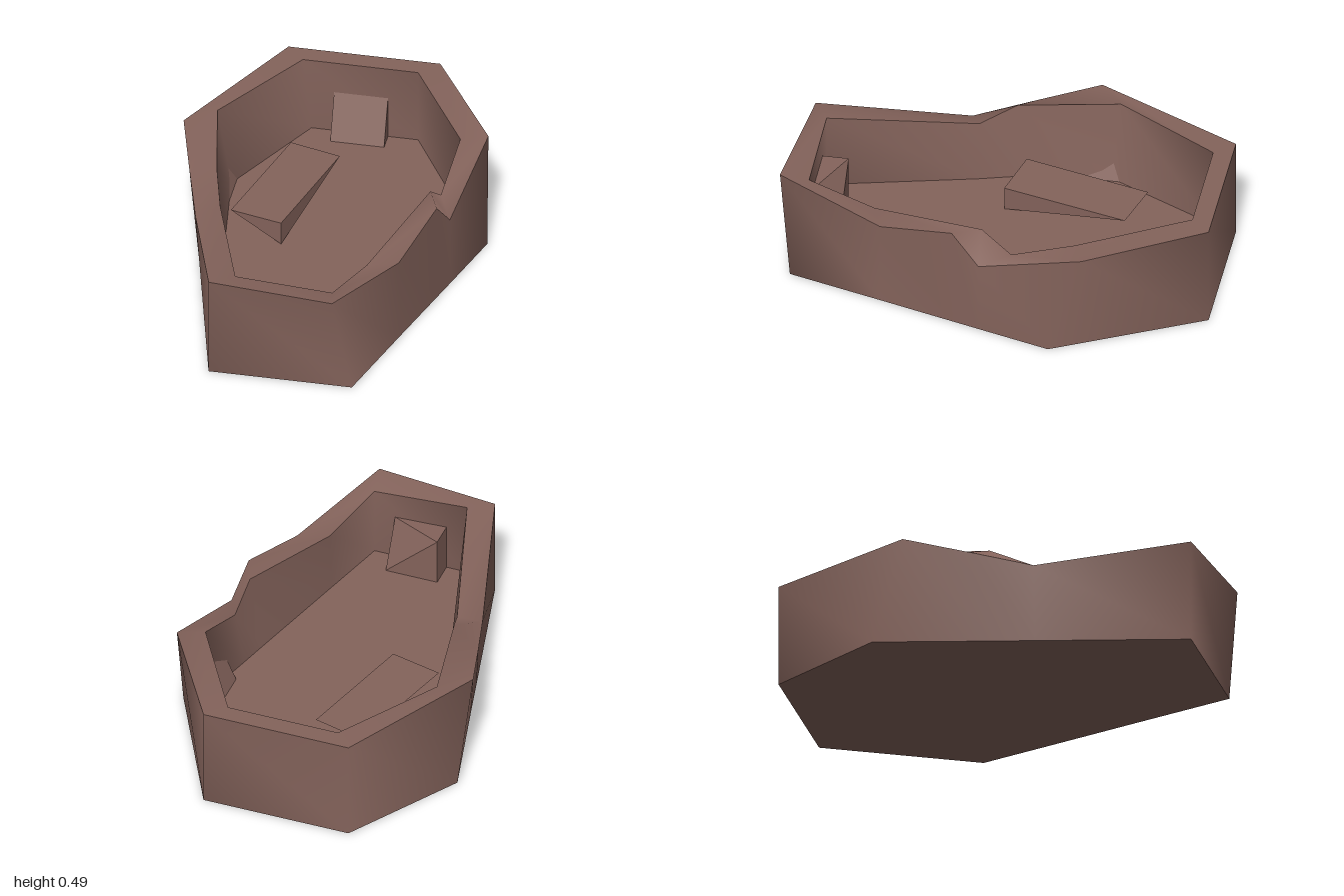
import * as THREE from 'three';
import { ConvexGeometry } from 'three/addons/geometries/ConvexGeometry.js';

const FLOOR = 0.12;

// Stations around the box: bottom [x,z], outer rim [x,y,z], inner rim [x,y,z], floor [x,z]
const stations = [
  [[-0.355, -1], [-0.355, 0.49, -1], [-0.27, 0.49, -0.91], [-0.23, -0.91]],
  [[0.35, -1], [0.35, 0.49, -1], [0.265, 0.49, -0.91], [0.265, -0.91]],
  [[0.705, -0.32], [0.68, 0.49, -0.47], [0.56, 0.49, -0.42], [0.56, -0.4]],
  [[0.604, 0.02], [0.6, 0.345, 0.02], [0.53, 0.38, -0.12], [0.486, -0.12]],
  [[0.565, 0.15], [0.565, 0.49, 0.15], [0.51, 0.49, 0.02], [0.45, 0.02]],
  [[0.46, 0.5], [0.46, 0.41, 0.5], [0.32, 0.41, 0.55], [0.31, 0.55]],
  [[0.33, 0.94], [0.25, 0.49, 1], [0.225, 0.46, 0.87], [0.225, 0.87]],
  [[-0.335, 0.94], [-0.335, 0.49, 0.94], [-0.225, 0.49, 0.87], [-0.225, 0.87]],
  [[-0.506, 0.25], [-0.535, 0.365, 0.25], [-0.43, 0.4, 0.2], [-0.39, 0.2]],
  [[-0.56, 0.03], [-0.62, 0.427, -0.03], [-0.48, 0.49, 0.03], [-0.44, 0.03]],
  [[-0.685, -0.47], [-0.705, 0.49, -0.32], [-0.57, 0.49, -0.43], [-0.5, -0.4]],
];

function build(points, index) {
  const geo = new THREE.BufferGeometry();
  geo.setAttribute('position', new THREE.Float32BufferAttribute(points.flat(), 3));
  geo.setIndex(index);
  geo.computeVertexNormals();
  return geo;
}

// Closed band between two rings, smooth around and sharp at its edges
function band(a, b) {
  const n = a.length, index = [];
  for (let i = 0; i < n; i++) {
    const j = (i + 1) % n;
    index.push(i, n + i, n + j, i, n + j, j);
  }
  return build([...a, ...b], index);
}

// Flat cap over one ring
function cap(ring, up) {
  const index = [];
  for (let i = 1; i < ring.length - 1; i++) index.push(0, ...(up ? [i + 1, i] : [i, i + 1]));
  return build(ring, index);
}

// Triangular block leaning on a wall, sloping towards its local +x
function wedge(out) {
  const s = new THREE.Shape([[0, 0], [out, 0], [0, 0.21]].map(p => new THREE.Vector2(...p)));
  return new THREE.ExtrudeGeometry(s, { depth: 0.25, bevelEnabled: false }).translate(0, 0, -0.125);
}

const hull = pts => new ConvexGeometry(pts.map(p => new THREE.Vector3(...p)));

export function createModel() {
  const model = new THREE.Group();
  model.name = 'brokenCoffin';
  const wood = new THREE.MeshStandardMaterial({ color: 0x84635b });
  wood.name = 'reddish brown wood';
  const add = (name, geo) => {
    const mesh = new THREE.Mesh(geo, wood);
    mesh.name = name;
    model.add(mesh);
    return mesh;
  };

  // Hollow body with a chipped rim
  const bottom = stations.map(s => [s[0][0], 0, s[0][1]]);
  const outer = stations.map(s => s[1]);
  const inner = stations.map(s => s[2]);
  const floor = stations.map(s => [s[3][0], FLOOR, s[3][1]]);
  add('outerWall', band(bottom, outer));
  add('rim', band(outer, inner));
  add('innerWall', band(inner, floor));
  add('floor', cap(floor, true));
  add('underside', cap(bottom, false));

  // Blocks against the walls
  const blocks = [
    ['rightBlock', 0.095, -0.575, -0.375, 0],
    ['leftBlock', 0.095, 0.57, -0.375, Math.PI],
    ['headBlock', 0.09, 0, -0.91, -Math.PI / 2],
  ];
  for (const [name, out, x, z, turn] of blocks) {
    const block = add(name, wedge(out));
    block.position.set(x, FLOOR, z);
    block.rotation.y = turn;
  }
  add('footBlock', hull([
    [-0.125, FLOOR, 0.75], [0.125, FLOOR, 0.75], [-0.125, FLOOR, 0.87], [0.125, FLOOR, 0.87],
    [0.125, 0.34, 0.87], [-0.125, 0.35, 0.87], [-0.125, 0.35, 0.75],
  ]));

  // Loose slab resting on one corner
  add('slab', hull([
    [-0.425, 0.235, -0.02], [-0.265, 0.235, -0.61], [-0.025, 0.235, -0.545],
    [-0.18, 0.235, 0.04], [-0.18, FLOOR, 0.04],
  ]));
  return model;
}
